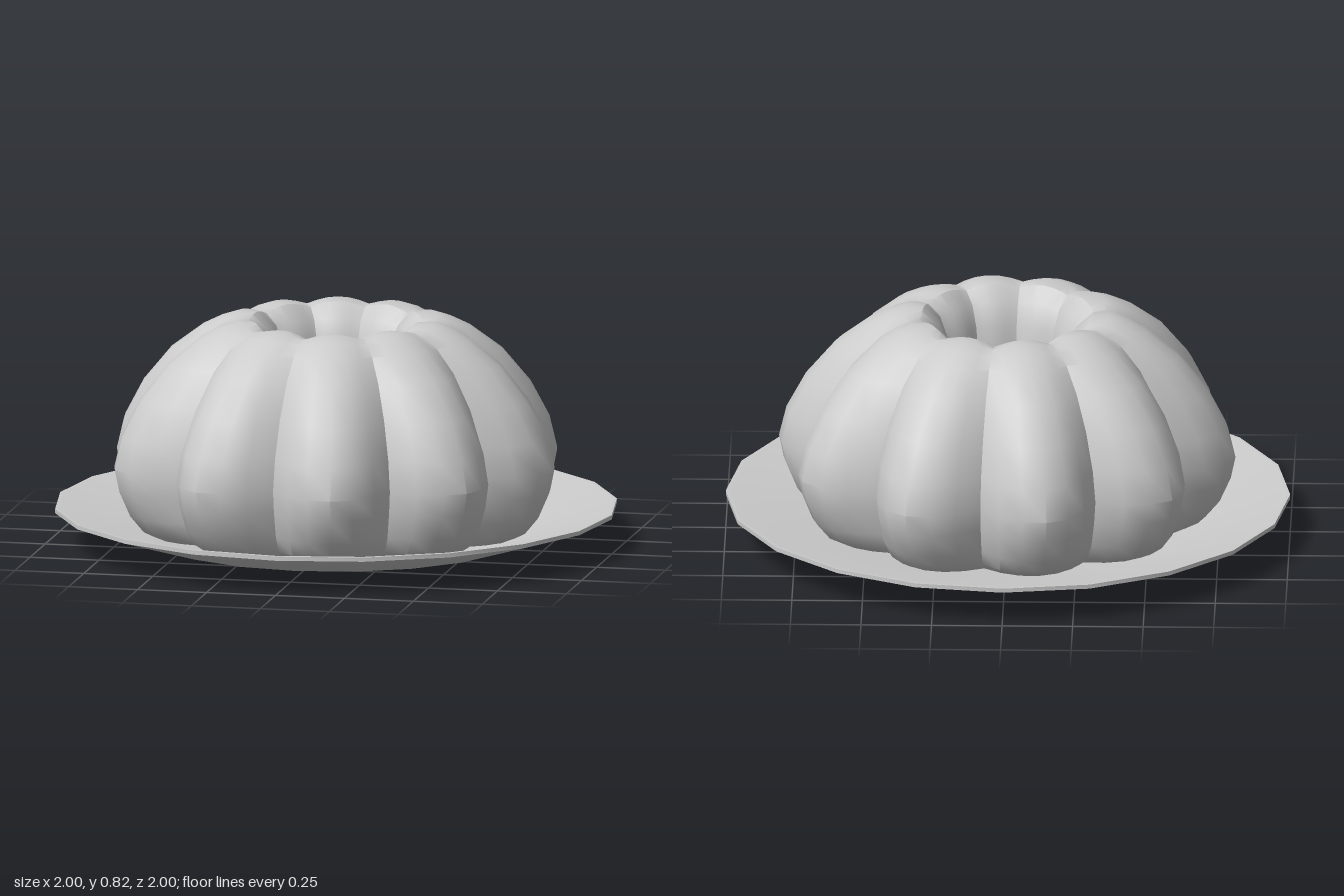
import * as THREE from 'three';
import { toCreasedNormals } from 'three/addons/utils/BufferGeometryUtils.js';

const material = new THREE.MeshStandardMaterial({ color: 0xcccccc });

// Ten-lobed ring: each row is [valley radius, extra radius at lobe crest, y, lift at crest].
function createCakeGeometry() {
  const rows = [
    [0.22, -0.015, 0.05, 0], [0.215, -0.015, 0.25, 0], [0.215, -0.02, 0.45, 0],
    [0.22, -0.02, 0.58, 0], [0.235, -0.02, 0.68, 0], [0.265, -0.02, 0.755, 0.01],
    [0.31, -0.01, 0.795, 0.02], [0.355, 0.01, 0.8, 0.02], [0.4, 0.025, 0.785, 0.015],
    [0.45, 0.045, 0.755, 0.01], [0.525, 0.09, 0.675, 0], [0.6, 0.12, 0.55, 0],
    [0.65, 0.14, 0.42, 0], [0.67, 0.147, 0.31, 0], [0.66, 0.14, 0.23, 0],
    [0.64, 0.12, 0.14, 0], [0.61, 0.1, 0.08, 0], [0.57, 0.08, 0.05, 0],
  ];
  const lobes = 10, perLobe = 6, around = lobes * perLobe;
  const start = THREE.MathUtils.degToRad(25);
  const positions = [], index = [];
  rows.forEach(([valley, bulge, y, lift]) => {
    for (let i = 0; i < around; i++) {
      const angle = start + (i / around) * Math.PI * 2;
      const wave = Math.sin(((i % perLobe) / perLobe) * Math.PI);
      const r = valley + bulge * wave;
      positions.push(r * Math.cos(angle), y + lift * wave, r * Math.sin(angle));
    }
  });
  // Join the rows, closing the underside from the last row to the first
  for (let j = 0; j < rows.length; j++) {
    const next = (j + 1) % rows.length;
    for (let i = 0; i < around; i++) {
      const k = (i + 1) % around;
      const a = j * around + i, b = j * around + k;
      const c = next * around + k, d = next * around + i;
      index.push(a, b, d, b, c, d);
    }
  }
  const geometry = new THREE.BufferGeometry();
  geometry.setAttribute('position', new THREE.Float32BufferAttribute(positions, 3));
  geometry.setIndex(index);
  return toCreasedNormals(geometry, THREE.MathUtils.degToRad(35));
}

// Shallow dish with a twenty-sided rim and a raised foot ring underneath.
function createPlateGeometry() {
  const profile = [
    [0, 0.02], [0.305, 0.02], [0.31, 0], [0.325, 0], [0.33, 0.025],
    [0.67, 0.025], [1, 0.125], [1, 0.14], [0.985, 0.14], [0.66, 0.055], [0, 0.055],
  ].map(([r, y]) => new THREE.Vector2(r, y));
  return toCreasedNormals(new THREE.LatheGeometry(profile, 20), THREE.MathUtils.degToRad(30));
}

export function createModel() {
  const group = new THREE.Group();
  group.name = 'cakeOnPlate';

  const plate = new THREE.Mesh(createPlateGeometry(), material);
  plate.name = 'plate';

  const cake = new THREE.Mesh(createCakeGeometry(), material);
  cake.name = 'ringCake';
  cake.position.set(0.003, 0, 0.017);

  group.add(plate, cake);
  return group;
}
